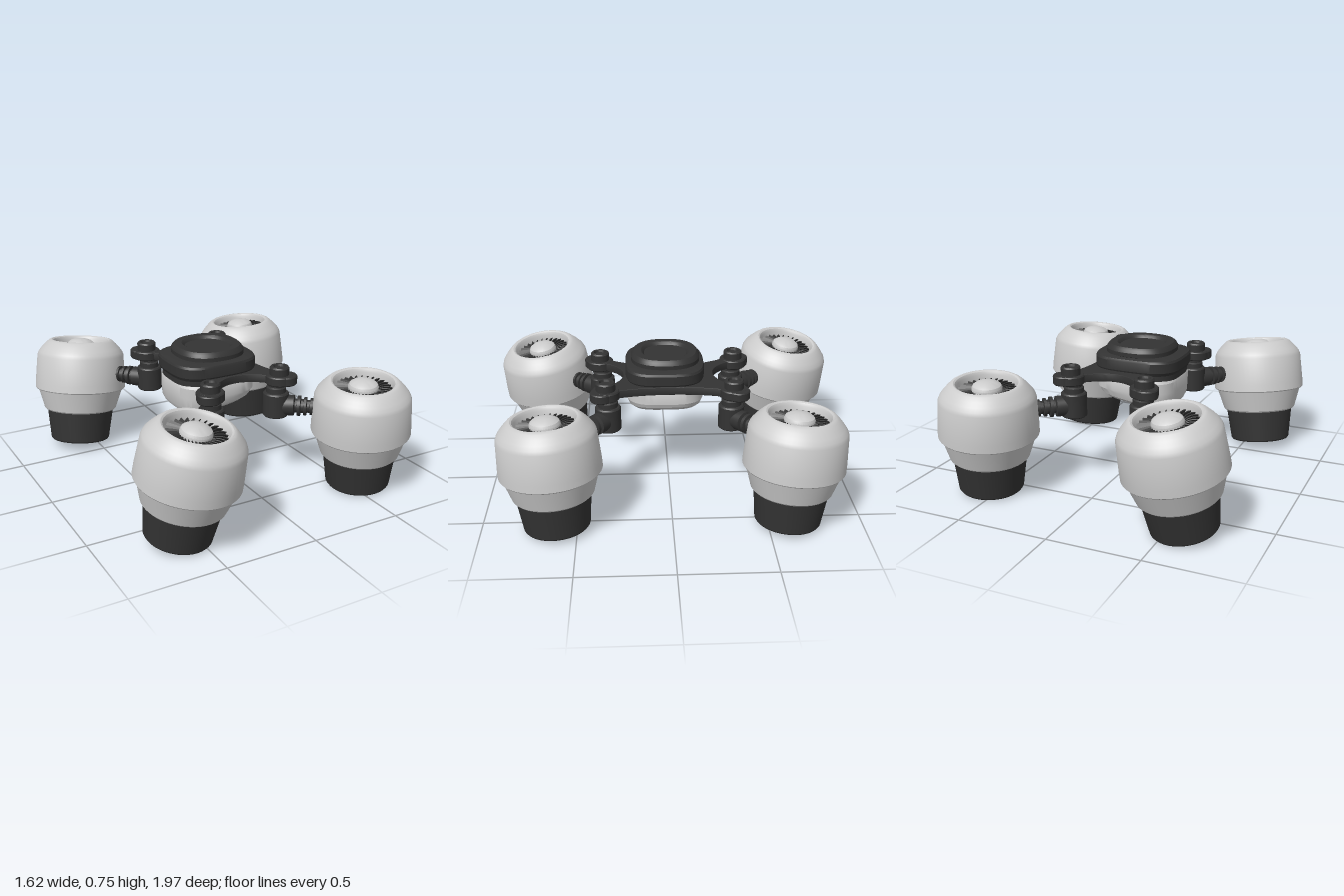
import * as THREE from 'three';
import { mergeGeometries, toCreasedNormals } from 'three/addons/utils/BufferGeometryUtils.js';

const grey = new THREE.MeshStandardMaterial({ color: 0xcccccc });
const dark = new THREE.MeshStandardMaterial({ color: 0x333333 });
const UP = new THREE.Vector3(0, 1, 0);

function add(parent, name, geometry, material, x = 0, y = 0, z = 0) {
  const mesh = new THREE.Mesh(geometry, material);
  mesh.name = name;
  mesh.position.set(x, y, z);
  parent.add(mesh);
  return mesh;
}

// Turned part with crisp edges; profile runs from bottom to top as [radius, height]
function turned(profile, segments = 56) {
  const points = profile.map(([r, y]) => new THREE.Vector2(r, y));
  return toCreasedNormals(new THREE.LatheGeometry(points, segments), 0.45);
}

// Turned part pressed into a rounded square, with optional sloping of its lower end
function squared(profile, power, sx, sz, slope = () => 0) {
  const g = new THREE.LatheGeometry(profile.map(([r, y]) => new THREE.Vector2(r, y)), 64);
  const p = g.attributes.position;
  for (let i = 0; i < p.count; i++) {
    const x = p.getX(i), y = p.getY(i), z = p.getZ(i), r = Math.hypot(x, z);
    if (r < 1e-6) { p.setY(i, y + slope(0, y)); continue; }
    const k = Math.pow(Math.pow(Math.abs(x / r), power) + Math.pow(Math.abs(z / r), power), -1 / power);
    p.setXYZ(i, x * k * sx, y + slope(x * k * sx, y), z * k * sz);
  }
  return toCreasedNormals(g, 0.45);
}

function fanBlades() {
  const blades = [];
  const count = 30;
  for (let i = 0; i < count; i++) {
    const blade = new THREE.BoxGeometry(0.08, 0.035, 0.005, 4, 1, 1);
    const p = blade.attributes.position;
    for (let j = 0; j < p.count; j++) p.setZ(j, p.getZ(j) + 6 * p.getX(j) ** 2);
    blade.rotateX(0.6).translate(0.115, 0.555, 0).rotateY((i / count) * Math.PI * 2);
    blades.push(blade);
  }
  return mergeGeometries(blades);
}

// Ducted engine, modelled upright from its nozzle rim
const podParts = [
  ['nozzle', turned([[0, 0.06], [0.14, 0.06], [0.148, 0.006], [0.152, 0], [0.168, 0], [0.174, 0.008],
    [0.196, 0.185], [0.19, 0.2], [0, 0.2]]), dark],
  ['lowerCasing', turned([[0.17, 0.186], [0.206, 0.186], [0.214, 0.194], [0.25, 0.312], [0.245, 0.33]]), grey],
  ['upperCasing', turned([[0.24, 0.314], [0.262, 0.314], [0.267, 0.32], [0.266, 0.36], [0.256, 0.515],
    [0.248, 0.535], [0.232, 0.556], [0.212, 0.578], [0.192, 0.597], [0.18, 0.604], [0.172, 0.605],
    [0.163, 0.6], [0.155, 0.585], [0.152, 0.53]]), grey],
  ['intakeFloor', turned([[0.153, 0.52], [0.153, 0.532], [0, 0.532]]), dark],
  ['fanBlades', fanBlades(), dark],
  ['fanHub', turned([[0.08, 0.53], [0.08, 0.575], [0.074, 0.588], [0.058, 0.6], [0.032, 0.608], [0, 0.611]], 40), grey],
];

function createPod(bottom, axis) {
  const pod = new THREE.Group();
  pod.name = 'enginePod';
  for (const [name, geometry, material] of podParts) add(pod, name, geometry, material);
  pod.position.copy(bottom);
  pod.quaternion.setFromUnitVectors(UP, axis);
  return pod;
}

// Hinge at the end of an arm, with a ribbed shaft reaching to the engine
const knob = turned([[0.042, 0.61], [0.052, 0.618], [0.053, 0.66], [0.047, 0.668], [0.034, 0.668],
  [0.03, 0.656], [0, 0.656]], 32);
const hinge = turned([[0, 0.387], [0.064, 0.387], [0.07, 0.393], [0.07, 0.515], [0.064, 0.522], [0.054, 0.524],
  [0.054, 0.55], [0.045, 0.556], [0.045, 0.58]], 32);
const pad = turned([[0, 0.572], [0.07, 0.572], [0.075, 0.578], [0.075, 0.616], [0.07, 0.622], [0, 0.622]], 32);
const shaftProfile = [[0.056, 0], [0.056, 0.085], [0.038, 0.09], [0.038, 0.102], [0.055, 0.104], [0.055, 0.12],
  [0.038, 0.123], [0.038, 0.137], [0.05, 0.139], [0.05, 0.153], [0.035, 0.156], [0.035, 0.171],
  [0.046, 0.173], [0.046, 0.19], [0.036, 0.193], [0.036, 0.24]];
const shaft = turned(shaftProfile, 32);

function createJoint(x, z, target) {
  const joint = new THREE.Group();
  joint.name = 'armJoint';
  const dir = new THREE.Vector3(target.x - x, 0, target.z - z).normalize();
  add(joint, 'jointKnob', knob, dark);
  add(joint, 'jointPad', pad, dark);
  const tip = add(joint, 'jointPadTip', pad, dark, dir.x * 0.035, 0.006, dir.z * 0.035);
  tip.scale.set(0.82, 0.99, 0.82);
  add(joint, 'hingeHousing', hinge, dark, -dir.x * 0.015, 0, -dir.z * 0.015);
  add(joint, 'ribbedShaft', shaft, dark, 0, 0.448, 0).quaternion.setFromUnitVectors(UP, dir);
  joint.position.set(x, 0, z);
  return joint;
}

// Flat four-armed plate with hollowed sides
function armPlate() {
  const s = new THREE.Shape();
  s.moveTo(0.225, 0.32);
  s.lineTo(0.16, 0.365);
  s.bezierCurveTo(0.06, 0.2, -0.14, 0.2, -0.215, 0.4);
  s.lineTo(-0.285, 0.37);
  s.bezierCurveTo(-0.1, 0.2, -0.1, -0.2, -0.285, -0.37);
  s.lineTo(-0.215, -0.4);
  s.bezierCurveTo(-0.14, -0.2, 0.06, -0.2, 0.16, -0.365);
  s.lineTo(0.225, -0.32);
  s.bezierCurveTo(0.15, -0.2, 0.15, 0.2, 0.225, 0.32);
  const g = new THREE.ExtrudeGeometry(s, { depth: 0.032, curveSegments: 24, bevelEnabled: true,
    bevelThickness: 0.006, bevelSize: 0.004, bevelSegments: 2 });
  return toCreasedNormals(g.rotateX(-Math.PI / 2), 0.5);
}

export function createModel() {
  const model = new THREE.Group();
  model.name = 'hoverDrone';

  // Central body
  const cx = -0.073, cz = 0.02;
  add(model, 'armPlate', armPlate(), dark, 0, 0.582, 0);
  add(model, 'housing', squared([[0, 0.61], [0.96, 0.61], [1, 0.628], [1, 0.678], [0.975, 0.69], [0.85, 0.7],
    [0, 0.7]], 3.3, 0.243, 0.218), dark, cx, 0, cz);
  add(model, 'topCap', squared([[0.93, 0.69], [1, 0.7], [1, 0.722], [0.96, 0.736], [0.9, 0.747], [0.7, 0.747],
    [0.66, 0.742], [0.62, 0.73], [0, 0.73]], 2.4, 0.19, 0.19), dark, cx + 0.005, 0, cz - 0.004);
  const slope = (x, y) => (y < 0.5 ? 0.14 * x : 0);
  add(model, 'belly', squared([[0, 0.432], [0.7, 0.432], [0.82, 0.437], [0.93, 0.456], [0.985, 0.485], [1, 0.51],
    [1, 0.565], [0.97, 0.58], [0, 0.58]], 3.3, 0.23, 0.216, slope), grey, cx, 0, cz);
  add(model, 'bellySeam', squared([[0.9, 0.57], [0.96, 0.572], [0.96, 0.615], [0.9, 0.62]], 3.3, 0.235, 0.215),
    dark, cx, 0, cz);

  // Engines and joints, mirrored front to back
  for (const side of [1, -1]) {
    const mounts = [
      { joint: [-0.25, 0.385], bottom: [-0.588, 0.03, 0.662], top: [-0.515, 0.635, 0.748] },
      { joint: [0.193, 0.344], bottom: [0.556, 0.018, 0.604], top: [0.526, 0.63, 0.642] },
    ];
    for (const { joint, bottom, top } of mounts) {
      const a = new THREE.Vector3(bottom[0], bottom[1], bottom[2] * side);
      const b = new THREE.Vector3(top[0], top[1], top[2] * side);
      model.add(createPod(a, b.clone().sub(a).normalize()));
      model.add(createJoint(joint[0], joint[1] * side, a.clone().lerp(b, 0.69)));
    }
  }
  return model;
}
